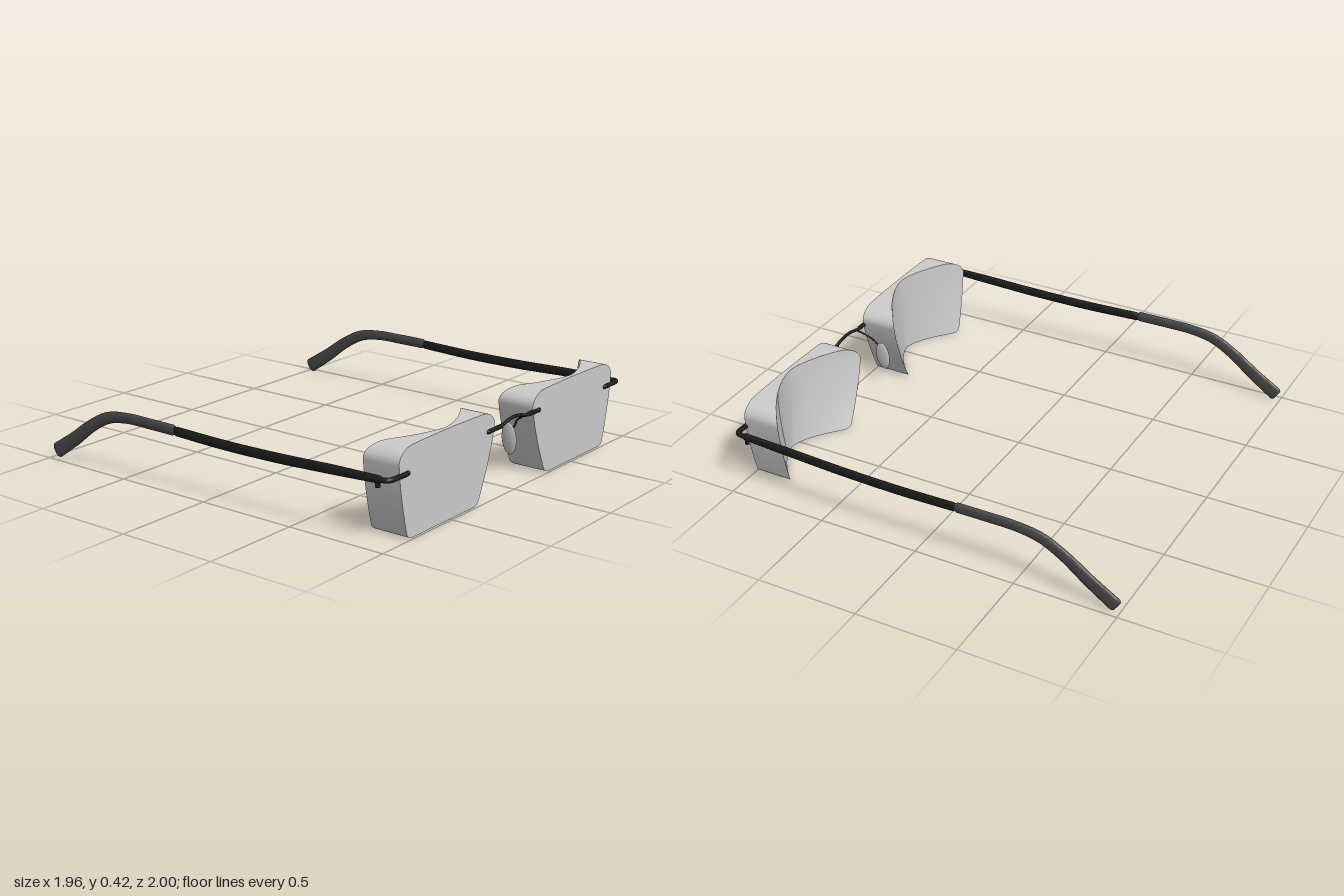
import * as THREE from 'three';
import { toCreasedNormals } from 'three/addons/utils/BufferGeometryUtils.js';

const mat = (color, side = THREE.FrontSide) => new THREE.MeshStandardMaterial({ color, side });
const V = (p) => new THREE.Vector3(...p);

// Surface grid: fn(s, t) -> [x, y, z], s and t in 0..1, outward normal = ds x dt
function grid(ns, nt, fn) {
  const pos = [], idx = [];
  for (let i = 0; i <= ns; i++) for (let j = 0; j <= nt; j++) pos.push(...fn(i / ns, j / nt));
  for (let i = 0; i < ns; i++) for (let j = 0; j < nt; j++) {
    const a = i * (nt + 1) + j, b = a + nt + 1;
    idx.push(a, b, b + 1, a, b + 1, a + 1);
  }
  const g = new THREE.BufferGeometry();
  g.setAttribute('position', new THREE.Float32BufferAttribute(pos, 3));
  g.setIndex(idx);
  return g;
}

// Mirror across x = 0, keeping faces outward
function mirrored(geo) {
  const g = geo.clone().scale(-1, 1, 1);
  const a = g.index.array;
  for (let i = 0; i < a.length; i += 3) [a[i], a[i + 1]] = [a[i + 1], a[i]];
  return g;
}

// Lens outline: sides lean in towards the bottom, corners are rounded
const drop = (y) => Math.min(1, Math.max(0, (0.4 - y) / 0.4));
const inner = (y) => 0.155 + 0.135 * drop(y) ** 1.5;
const outer = (y) => 0.877 - 0.072 * drop(y) ** 1.6;
const corner = (u, start) => {
  const k = Math.min(1, Math.max(0, (Math.abs(u) - start) / (1 - start)));
  return 1 - Math.sqrt(1 - k * k);
};
const topY = (u) => 0.431 - 0.008 * u * u - 0.07 * corner(u, 0.74);
const bottomY = (u) => 0.011 + 0.025 * corner(u, 0.88);
const FRONT = 0.988;
const backZ = (u) => 0.968 - 0.168 * Math.abs(u) ** 1.6;
function lensPoint(u, v, depth) {
  const y = THREE.MathUtils.lerp(bottomY(u), topY(u), v);
  const x = THREE.MathUtils.lerp(inner(y), outer(y), (u + 1) / 2);
  return [x, y, THREE.MathUtils.lerp(backZ(u), FRONT, depth)];
}
const spread = (s) => Math.sin((s - 0.5) * Math.PI);
// Position on the lens perimeter, counter-clockwise from the lower inner corner
function rimPoint(s, depth) {
  const k = s * 4, side = Math.min(3, Math.floor(k)), f = k - side;
  if (side === 0) return lensPoint(spread(f), 0, depth);
  if (side === 1) return lensPoint(1, f, depth);
  if (side === 2) return lensPoint(spread(1 - f), 1, depth);
  return lensPoint(-1, 1 - f, depth);
}

// Sweep a rounded section along a path heading to -z; heights run along the path
function sweep(points, halfWidth, heights, n = 40) {
  const curve = new THREE.CatmullRomCurve3(points.map(V));
  const X = new THREE.Vector3(1, 0, 0), last = heights.length - 1;
  const rings = n + 4;
  return grid(rings, 20, (s, t) => {
    const i = Math.round(s * rings);
    const end = [0, 0.75, 1][Math.min(2, i, rings - i)];
    let k = THREE.MathUtils.clamp((i - 2) / n, 0, 1);
    // end rings sit at the path ends, the first full ring slightly inside
    k = end === 1 ? 0.012 + k * 0.976 : Math.round(k);
    const p = curve.getPoint(k);
    const up = X.clone().cross(curve.getTangent(k)).normalize();
    const h = Math.min(last - 1e-6, k * last), j = Math.floor(h);
    const hh = THREE.MathUtils.lerp(heights[j], heights[j + 1], h - j) * end;
    const a = t * Math.PI * 2, c = Math.cos(a), q = Math.sin(a);
    p.x += Math.sign(c) * Math.abs(c) ** 0.7 * halfWidth * end;
    p.addScaledVector(up, Math.sign(q) * Math.abs(q) ** 0.7 * hh);
    return p.toArray();
  });
}

const tube = (points, r, n = 32) =>
  new THREE.TubeGeometry(new THREE.CatmullRomCurve3(points.map(V)), n, r, 10);
const ball = (p, r) => new THREE.SphereGeometry(r, 12, 8).translate(...p);

export function createModel() {
  const model = new THREE.Group();
  const lensMat = mat(0xcccccc), frameMat = mat(0x1c1c1c), tipMat = mat(0x484848);

  const add = (name, geo, material, crease = false) => {
    const mesh = new THREE.Mesh(crease ? toCreasedNormals(geo, 0.7) : geo, material);
    mesh.name = name;
    model.add(mesh);
  };
  const pair = (name, geo, material, crease) => {
    add(name + 'Left', geo, material, crease);
    add(name + 'Right', mirrored(geo), material, crease);
  };

  // Thick lenses: flat front, hollow back, rounded rim
  pair('lensFront', grid(48, 12, (s, t) => lensPoint(spread(s), t, 1)), lensMat, true);
  pair('lensBack', grid(48, 12, (s, t) => lensPoint(spread(1 - s), t, 0)), lensMat, true);
  pair('lensRim', grid(160, 2, rimPoint), lensMat, true);

  // End pieces: bar on the lens, bending back into the temple
  pair('endPiece', tube([[0.815, 0.308, 0.988], [0.87, 0.308, 0.988], [0.92, 0.309, 0.988],
    [0.938, 0.309, 0.982], [0.945, 0.308, 0.965], [0.946, 0.306, 0.9]], 0.012), frameMat);
  pair('endPieceCap', ball([0.815, 0.308, 0.988], 0.012), frameMat);
  pair('hinge', new THREE.CylinderGeometry(0.011, 0.011, 0.05, 12).translate(0.944, 0.295, 0.93), frameMat);

  // Temple arms and their ear tips
  pair('temple', sweep([[0.945, 0.307, 0.95], [0.95, 0.3, 0.7], [0.955, 0.29, 0.4],
    [0.96, 0.288, 0.1], [0.964, 0.296, -0.2]], 0.011, [0.017, 0.022, 0.023, 0.023, 0.022]), frameMat, true);
  pair('earTip', sweep([[0.965, 0.298, -0.195], [0.965, 0.299, -0.35], [0.965, 0.297, -0.5],
    [0.965, 0.276, -0.62], [0.965, 0.218, -0.73], [0.965, 0.13, -0.85], [0.965, 0.04, -0.985]],
  0.0125, [0.025, 0.025, 0.025, 0.028, 0.03, 0.034, 0.038], 60), tipMat, true);

  // Bridge: thick ends on the lenses, thin arch between
  pair('bridgeMount', tube([[0.21, 0.336, 0.987], [0.16, 0.336, 0.987], [0.11, 0.336, 0.987]], 0.011, 8), frameMat);
  pair('bridgeMountCap', ball([0.21, 0.336, 0.987], 0.011), frameMat);
  add('bridge', tube([[-0.13, 0.336, 0.987], [-0.1, 0.338, 0.987], [-0.05, 0.35, 0.987], [0, 0.355, 0.987],
    [0.05, 0.35, 0.987], [0.1, 0.338, 0.987], [0.13, 0.336, 0.987]], 0.008, 40), frameMat);

  // Nose pads on thin wire arms
  pair('padArm', tube([[0.085, 0.342, 0.985], [0.105, 0.325, 0.965], [0.125, 0.295, 0.925],
    [0.143, 0.265, 0.905], [0.15, 0.22, 0.875]], 0.0045), frameMat);
  const pad = new THREE.SphereGeometry(1, 24, 16).scale(0.012, 0.082, 0.04);
  pad.rotateZ(0.13).translate(0.15, 0.19, 0.87);
  pair('nosePad', pad, lensMat);
  for (const m of model.children) if (!m.geometry.attributes.normal) m.geometry.computeVertexNormals();

  // Flip the shading normals of mirrored smooth parts to match their faces
  return model;
}
